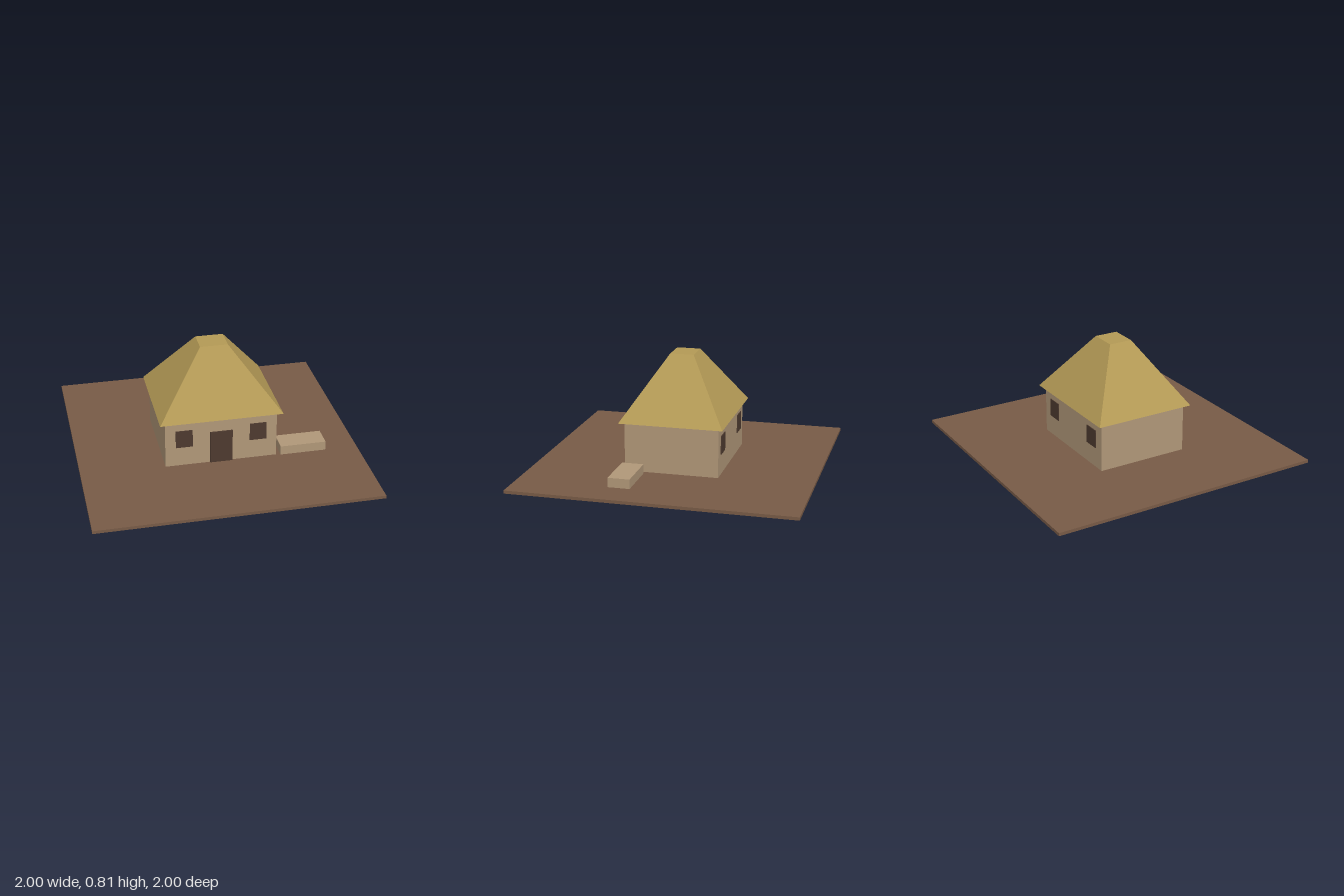
import * as THREE from 'three';

const material = (name, color) => {
  const m = new THREE.MeshStandardMaterial({ color });
  m.name = name;
  return m;
};

export function createModel() {
  const house = new THREE.Group();
  house.name = 'thatchedHut';

  const earth = material('earth', 0x775a46);
  const clay = material('clay', 0xb09778);
  const thatch = material('thatch', 0xb39955);
  const darkWood = material('darkWood', 0x4d3a2f);

  const add = (name, geometry, mat) => {
    const mesh = new THREE.Mesh(geometry, mat);
    mesh.name = name;
    house.add(mesh);
    return mesh;
  };
  // Box given by its centre in x and z, its base height and its size
  const box = (name, mat, x, y, z, w, h, d) =>
    add(name, new THREE.BoxGeometry(w, h, d), mat).position.set(x, y + h / 2, z);

  const floor = 0.022;
  box('ground', earth, 0, 0, 0, 2, floor, 2);
  box('walls', clay, 0, floor, 0, 0.8, 0.35, 0.67);
  box('bench', clay, 0.598, floor, 0.268, 0.333, 0.067, 0.155);

  // Hipped roof: a box whose top is drawn in to a small flat cap
  const roof = new THREE.BoxGeometry(0.876, 0.438, 0.74).toNonIndexed();
  const p = roof.attributes.position;
  for (let i = 0; i < p.count; i++) {
    if (p.getY(i) > 0) {
      p.setX(i, Math.sign(p.getX(i)) * 0.099);
      p.setZ(i, Math.sign(p.getZ(i)) * 0.085);
    }
  }
  roof.computeVertexNormals();
  add('roof', roof, thatch).position.y = 0.372 + 0.219;

  // Door in front, a pair of windows in front and behind
  box('door', darkWood, 0, floor, 0.34, 0.16, 0.245, 0.0099);
  for (const z of [1, -1]) {
    for (const x of [1, -1]) {
      box('window', darkWood, x * 0.265, 0.168, z * 0.336, 0.12, 0.132, 0.009);
    }
  }

  return house;
}
